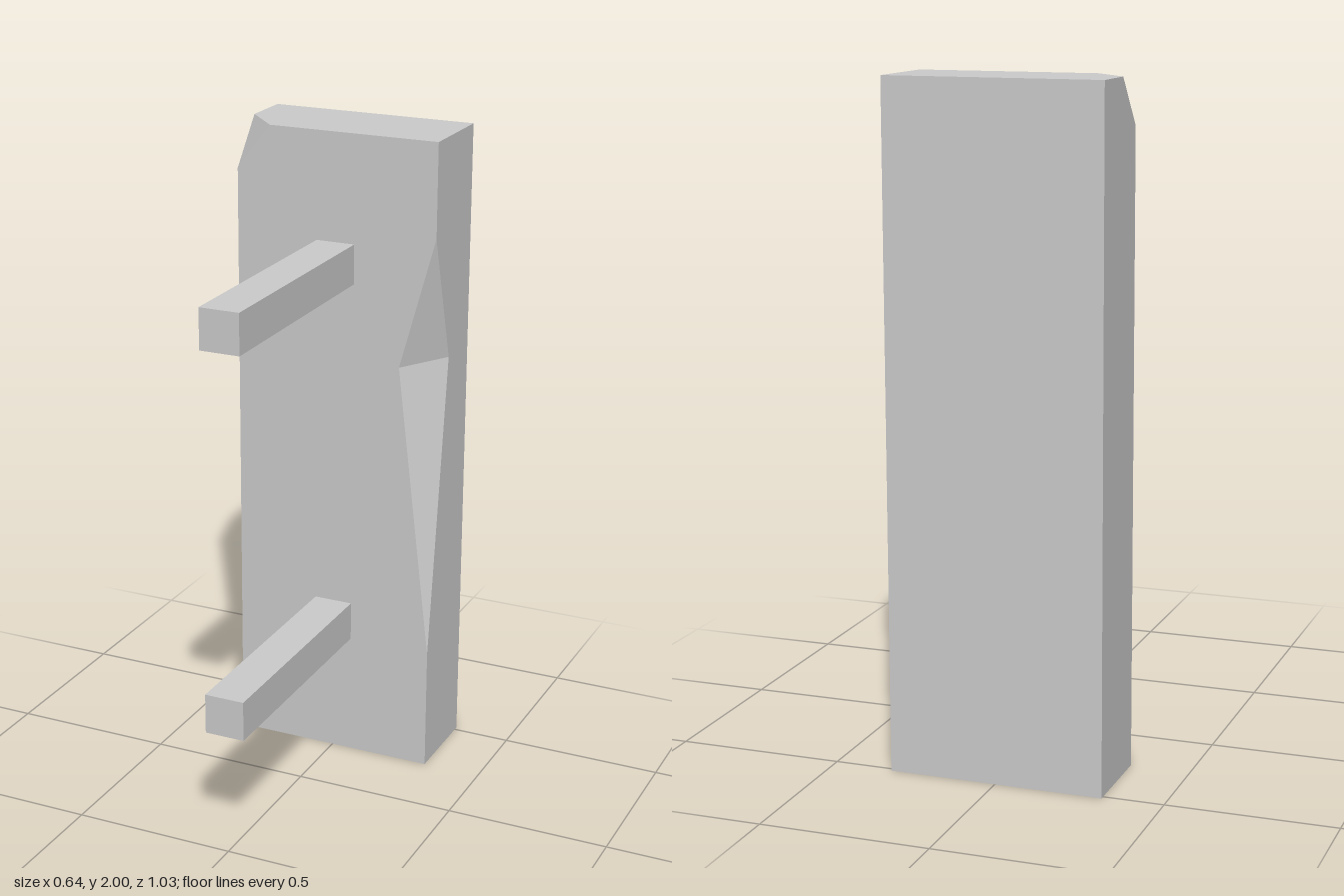
import * as THREE from 'three';

const material = new THREE.MeshStandardMaterial({ color: 0xcccccc, flatShading: true });

const W = 0.321, H = 2, FRONT = -0.24, BACK = -0.514;

// Corners of the slab, including the chipped corner and the side notch
const P = {
  frontBottomR: [-W, 0, FRONT], frontBottomL: [W, 0, FRONT], frontTopL: [W, H, FRONT],
  backBottomR: [-W, 0, BACK], backBottomL: [W, 0, BACK],
  backTopR: [-W, H, BACK], backTopL: [W, H, BACK],
  chipLow: [-W, 1.86, FRONT], chipTop: [-0.214, H, FRONT], chipBack: [-W, H, -0.355],
  notchLow: [W, 0.385, FRONT], notchHigh: [W, 1.715, FRONT],
  notchFront: [0.21, 1.308, FRONT], notchSide: [W, 1.322, -0.36],
};

// Flat faces as counter-clockwise loops, each split as a fan from its first corner
const FACES = {
  front: 'notchFront notchHigh frontTopL chipTop chipLow frontBottomR frontBottomL notchLow',
  left: 'notchSide notchLow frontBottomL backBottomL backTopL frontTopL notchHigh',
  right: 'backBottomR frontBottomR chipLow chipBack backTopR',
  top: 'chipTop frontTopL backTopL backTopR chipBack',
  bottom: 'frontBottomR backBottomR backBottomL frontBottomL',
  back: 'backBottomL backBottomR backTopR backTopL',
  chip: 'chipLow chipTop chipBack',
  notchUpper: 'notchHigh notchFront notchSide',
  notchLower: 'notchLow notchSide notchFront',
};

function slabGeometry() {
  const positions = [];
  for (const names of Object.values(FACES)) {
    const loop = names.split(' ').map((n) => P[n]);
    for (let i = 1; i < loop.length - 1; i++) {
      positions.push(...loop[0], ...loop[i], ...loop[i + 1]);
    }
  }
  const geometry = new THREE.BufferGeometry();
  geometry.setAttribute('position', new THREE.Float32BufferAttribute(positions, 3));
  geometry.computeVertexNormals();
  return geometry;
}

export function createModel() {
  const group = new THREE.Group();
  group.name = 'plankWithPegs';

  const slab = new THREE.Mesh(slabGeometry(), material);
  slab.name = 'slab';
  group.add(slab);

  // Two square pegs standing out from the front face
  const length = 0.514 - FRONT;
  const pegGeometry = new THREE.BoxGeometry(0.122, 0.122, length);
  for (const [name, y] of [['lowerPeg', 0.448], ['upperPeg', 1.608]]) {
    const peg = new THREE.Mesh(pegGeometry, material);
    peg.name = name;
    peg.position.set(0, y, FRONT + length / 2);
    group.add(peg);
  }
  return group;
}
